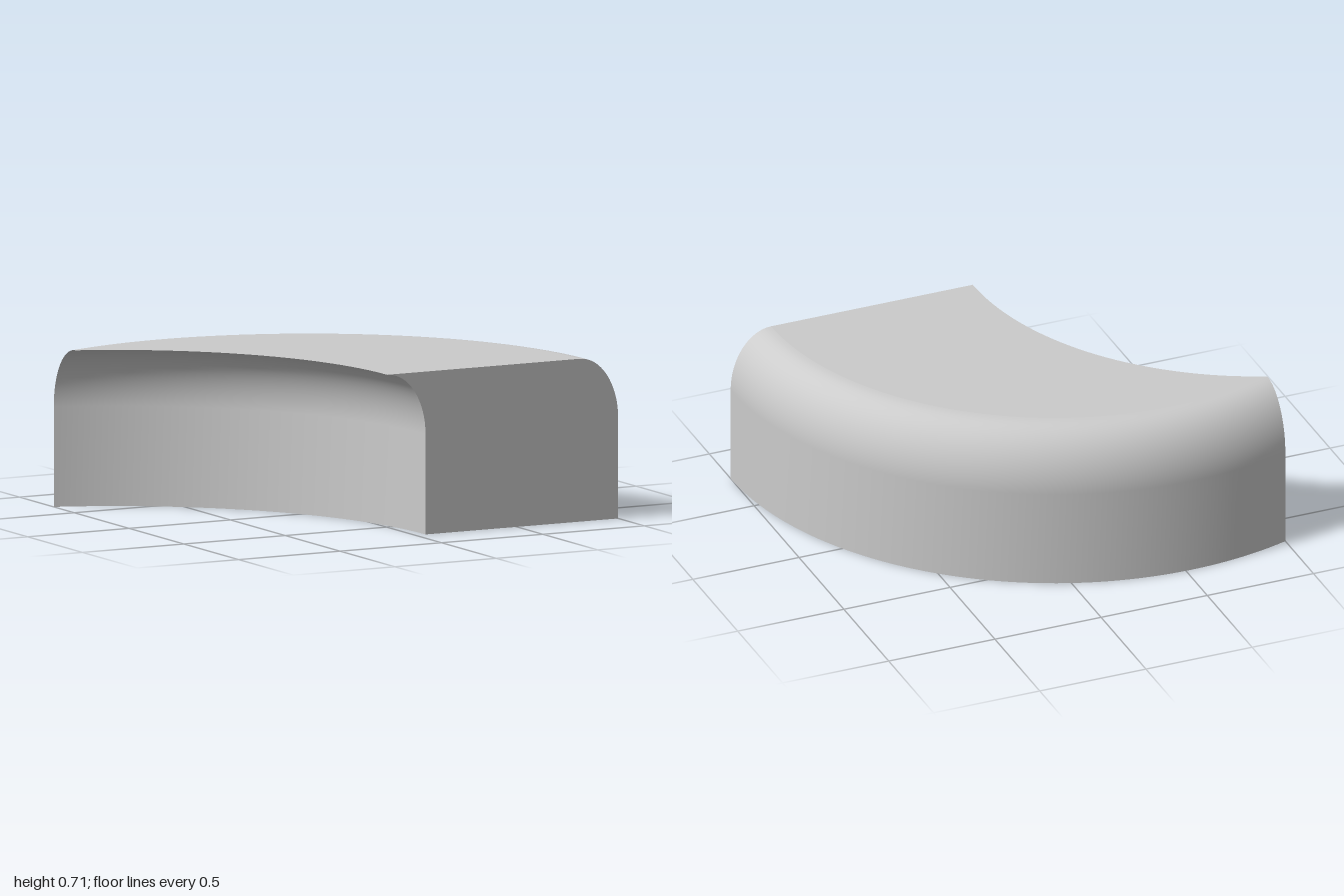
import * as THREE from 'three';

const R = 1.525;            // radius of the walls at the base
const SHIFT = 0.95;         // inner surface is the outer one moved along -x
const CX = 1 - R;           // centre of the outer arc
const ZC = R / 2;           // plane of the flat end face
const H = 0.715;            // height
const ROUND = { w: 0.19, h: 0.275 }; // elliptical rounding of the top edge
const N = 64;               // steps around the arc

// Wall profile: straight side, then a quarter ellipse up to the flat top
const levels = [{ r: R, y: 0 }];
for (let i = 0; i <= 16; i++) {
  const a = (i / 16) * Math.PI / 2;
  levels.push({
    r: R - ROUND.w * (1 - Math.cos(a)),
    y: H - ROUND.h * (1 - Math.sin(a)),
  });
}
const M = levels.length - 1;

// Points on the two walls; t runs from the end face (0) to the tip (1)
function wallPoint(side, t, { r, y }) {
  const tip = Math.acos((side * -SHIFT / 2) / r);
  const cx = side > 0 ? CX : CX - SHIFT;
  return new THREE.Vector3(cx + r * Math.cos(t * tip), y, ZC - r * Math.sin(t * tip));
}
const outer = (t, level) => wallPoint(1, t, level);
const inner = (t, level) => wallPoint(-1, t, level);

// Grid surface whose front faces along (u direction) x (v direction)
function surface(name, nu, nv, point, material) {
  const pos = [], index = [];
  for (let j = 0; j <= nv; j++) {
    for (let i = 0; i <= nu; i++) pos.push(...point(i, j).toArray());
  }
  for (let j = 0; j < nv; j++) {
    for (let i = 0; i < nu; i++) {
      const a = j * (nu + 1) + i, b = a + 1, d = a + nu + 1, c = d + 1;
      index.push(a, b, c, a, c, d);
    }
  }
  const geometry = new THREE.BufferGeometry();
  geometry.setAttribute('position', new THREE.Float32BufferAttribute(pos, 3));
  geometry.setIndex(index);
  geometry.computeVertexNormals();
  const mesh = new THREE.Mesh(geometry, material);
  mesh.name = name;
  return mesh;
}

export function createModel() {
  const group = new THREE.Group();
  group.name = 'curvedBlock';
  const material = new THREE.MeshStandardMaterial({ color: 0xcccccc });
  const base = levels[0], top = levels[M];

  group.add(
    // Convex wall with rounded shoulder, and the matching flared hollow
    surface('outerWall', N, M, (i, j) => outer(i / N, levels[j]), material),
    surface('innerWall', N, M, (i, j) => inner(1 - i / N, levels[j]), material),
    // Crescent top and bottom
    surface('topFace', N, 1, (i, j) => (j ? inner : outer)(i / N, top), material),
    surface('bottomFace', N, 1, (i, j) => (j ? outer : inner)(i / N, base), material),
    // Flat end face
    surface('endFace', 1, M, (i, j) => (i ? outer : inner)(0, levels[j]), material),
  );
  return group;
}
